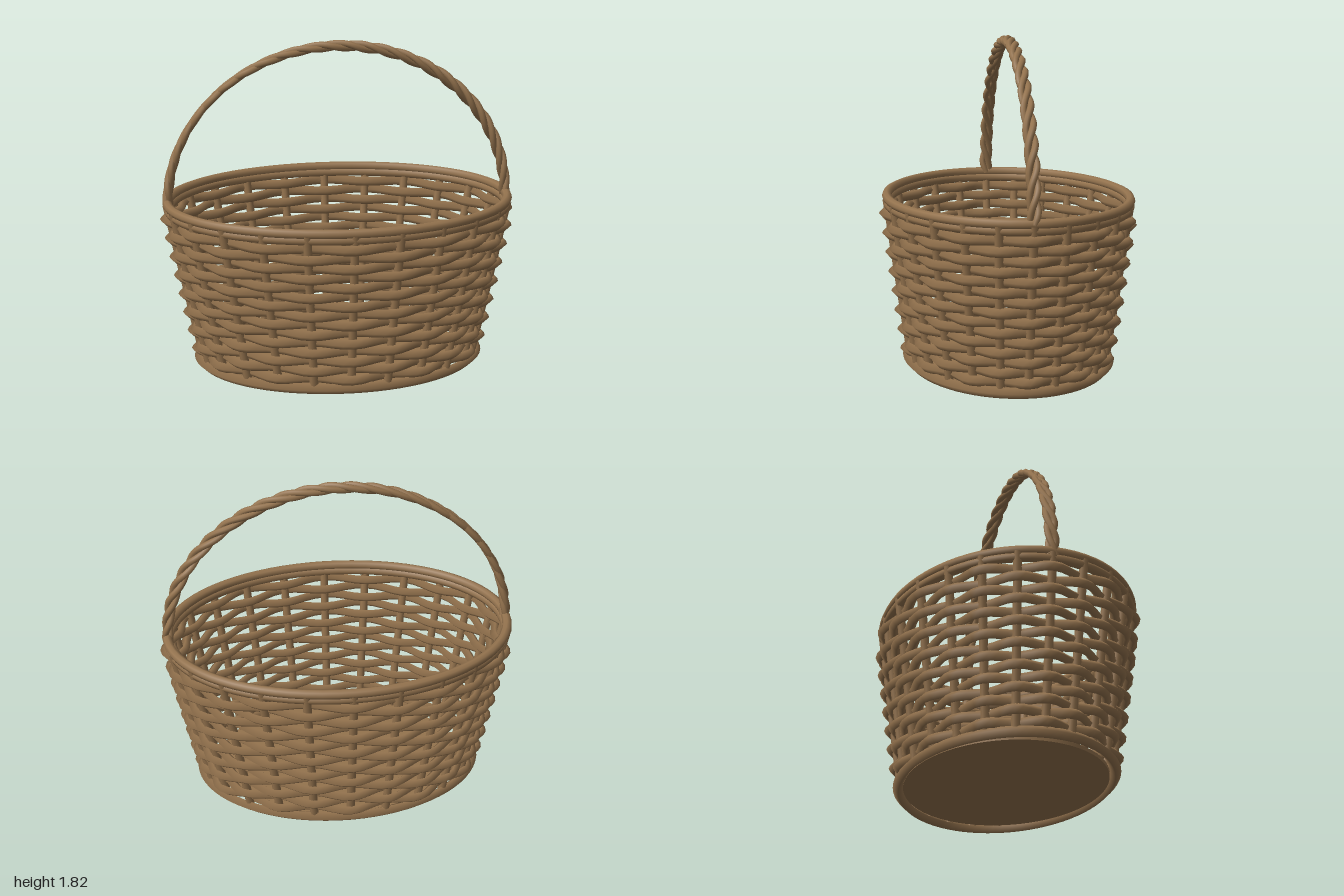
import * as THREE from 'three';

const STAKES = 24;
const DEPTH = 0.705; // depth of the oval relative to its width
const wallRadius = (y) => 0.765 + 0.2 * y;

// Closed oval strand; wave > 0 makes it pass in and out of the stakes
function ovalStrand(y, radius, thick, sides, wave = 0, phase = 0) {
  const segs = STAKES * (wave ? 4 : 3);
  const pos = [], index = [];
  for (let i = 0; i < segs; i++) {
    const t = (i / segs) * Math.PI * 2;
    const c = Math.cos(t), s = Math.sin(t);
    const n = new THREE.Vector2(c * DEPTH, s).normalize();
    const shift = wave * Math.cos((t * STAKES) / 2 + phase);
    for (let j = 0; j < sides; j++) {
      const a = (j / sides) * Math.PI * 2;
      const out = shift + Math.cos(a) * thick;
      pos.push(c * radius + n.x * out, y + Math.sin(a) * thick, s * radius * DEPTH + n.y * out);
      const i2 = (i + 1) % segs, j2 = (j + 1) % sides;
      const p = i * sides + j, q = i * sides + j2, r = i2 * sides + j, u = i2 * sides + j2;
      index.push(p, q, r, q, u, r);
    }
  }
  const geo = new THREE.BufferGeometry();
  geo.setAttribute('position', new THREE.Float32BufferAttribute(pos, 3));
  geo.setIndex(index);
  geo.computeVertexNormals();
  return geo;
}

export function createModel() {
  const basket = new THREE.Group();
  basket.name = 'basket';
  const wicker = new THREE.MeshStandardMaterial({ color: 0x94734e });
  wicker.name = 'wicker brown';

  const add = (name, geo, parent = basket) => {
    const mesh = new THREE.Mesh(geo, wicker);
    mesh.name = name;
    parent.add(mesh);
    return mesh;
  };
  const group = (name) => {
    const g = new THREE.Group();
    g.name = name;
    basket.add(g);
    return g;
  };

  // Oval floor
  const floor = add('floor', new THREE.CylinderGeometry(1, 1, 0.02, 64));
  floor.scale.set(0.7, 1, 0.535);
  floor.position.y = 0.03;

  // Plain rings at the foot and the rim
  add('footRing', ovalStrand(0.03, 0.79, 0.03, 4));
  add('lowerRim', ovalStrand(0.902, 0.94, 0.026, 8));
  add('upperRim', ovalStrand(0.937, 0.946, 0.026, 8));

  // Upright stakes leaning outward
  const stakes = group('stakes');
  for (let i = 0; i < STAKES; i++) {
    const t = (i / STAKES) * Math.PI * 2;
    const at = (y) => new THREE.Vector3(
      Math.cos(t) * wallRadius(y), y, Math.sin(t) * wallRadius(y) * DEPTH);
    add('stake', new THREE.TubeGeometry(new THREE.LineCurve3(at(0.03), at(0.93)), 1, 0.023, 8), stakes);
  }

  // Woven rows, each one opposite to its neighbour
  const rows = group('wovenRows');
  for (let k = 0; k < 15; k++) {
    const y = 0.85 - k * 0.0548;
    add('wovenRow', ovalStrand(y, wallRadius(y), 0.028, 4, 0.026, k % 2 ? Math.PI : 0), rows);
  }

  // Arched handle of three twisted strands
  const handle = group('handle');
  for (let s = 0; s < 3; s++) {
    const points = [];
    for (let i = 0; i <= 120; i++) {
      const f = i / 120, a = Math.PI * (1 - f);
      const twist = f * 8 * Math.PI * 2 + (s * Math.PI * 2) / 3;
      const lean = 0.013 * Math.cos(twist);
      points.push(new THREE.Vector3(
        Math.cos(a) * 0.943 + lean,
        0.92 + Math.sin(a) * 0.87 + lean,
        Math.sin(twist) * 0.021));
    }
    add('handleStrand', new THREE.TubeGeometry(new THREE.CatmullRomCurve3(points), 160, 0.018, 8), handle);
  }
  return basket;
}
